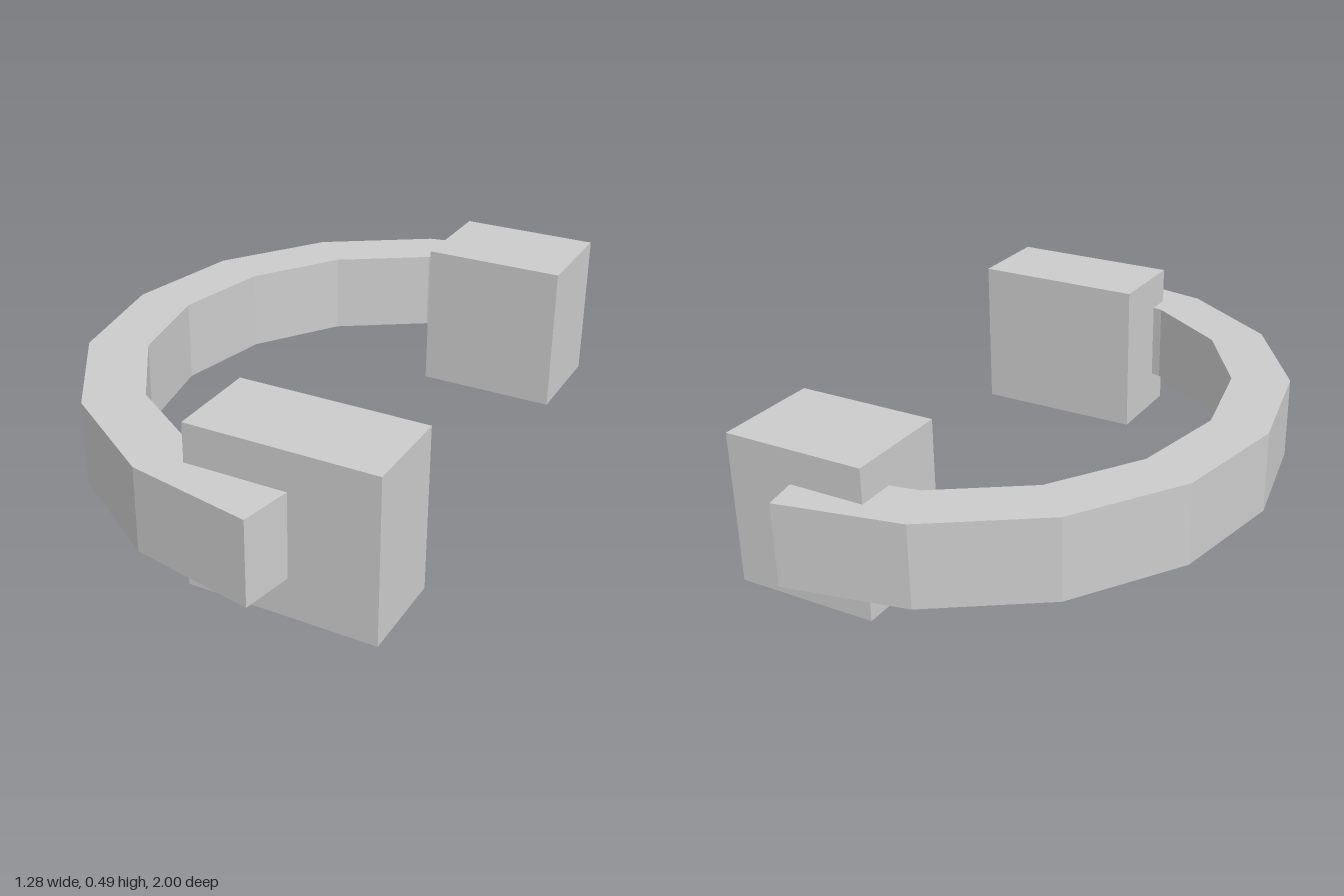
import * as THREE from 'three';

const material = new THREE.MeshStandardMaterial({ color: 0xcccccc, flatShading: true });

// Box given by its minimum and maximum corners
function block(name, min, max) {
  const size = max.map((v, i) => v - min[i]);
  const mesh = new THREE.Mesh(new THREE.BoxGeometry(...size), material);
  mesh.position.set(...max.map((v, i) => (v + min[i]) / 2));
  mesh.name = name;
  return mesh;
}

export function createModel() {
  const group = new THREE.Group();
  group.name = 'cShapedFrame';

  // Faceted C-shaped band: half outlines as [x, z], mirrored across z = 0
  const outer = [[0.355, 1], [-0.02, 0.924], [-0.348, 0.707], [-0.567, 0.382]];
  const inner = [[0.387, 0.823], [0.048, 0.757], [-0.22, 0.58], [-0.398, 0.313]];
  const mirror = (pts) => pts.map(([x, z]) => [x, -z]).reverse();
  const outline = [
    ...outer, [-0.64, 0], ...mirror(outer),
    ...[...mirror(inner)].reverse(), [-0.46, 0], ...[...inner].reverse(),
  ];
  const shape = new THREE.Shape(outline.map(([x, z]) => new THREE.Vector2(x, z)));
  const bandGeometry = new THREE.ExtrudeGeometry(shape, { depth: 0.255, bevelEnabled: false });
  bandGeometry.rotateX(Math.PI / 2);
  const band = new THREE.Mesh(bandGeometry, material);
  band.position.y = 0.375;
  band.name = 'curvedBand';
  group.add(band);

  // End blocks, the front one slightly larger
  group.add(block('frontBlock', [0.08, 0, 0.56], [0.64, 0.492, 0.843]));
  group.add(block('backBlock', [0.138, 0.015, -0.893], [0.58, 0.48, -0.56]));

  return group;
}
